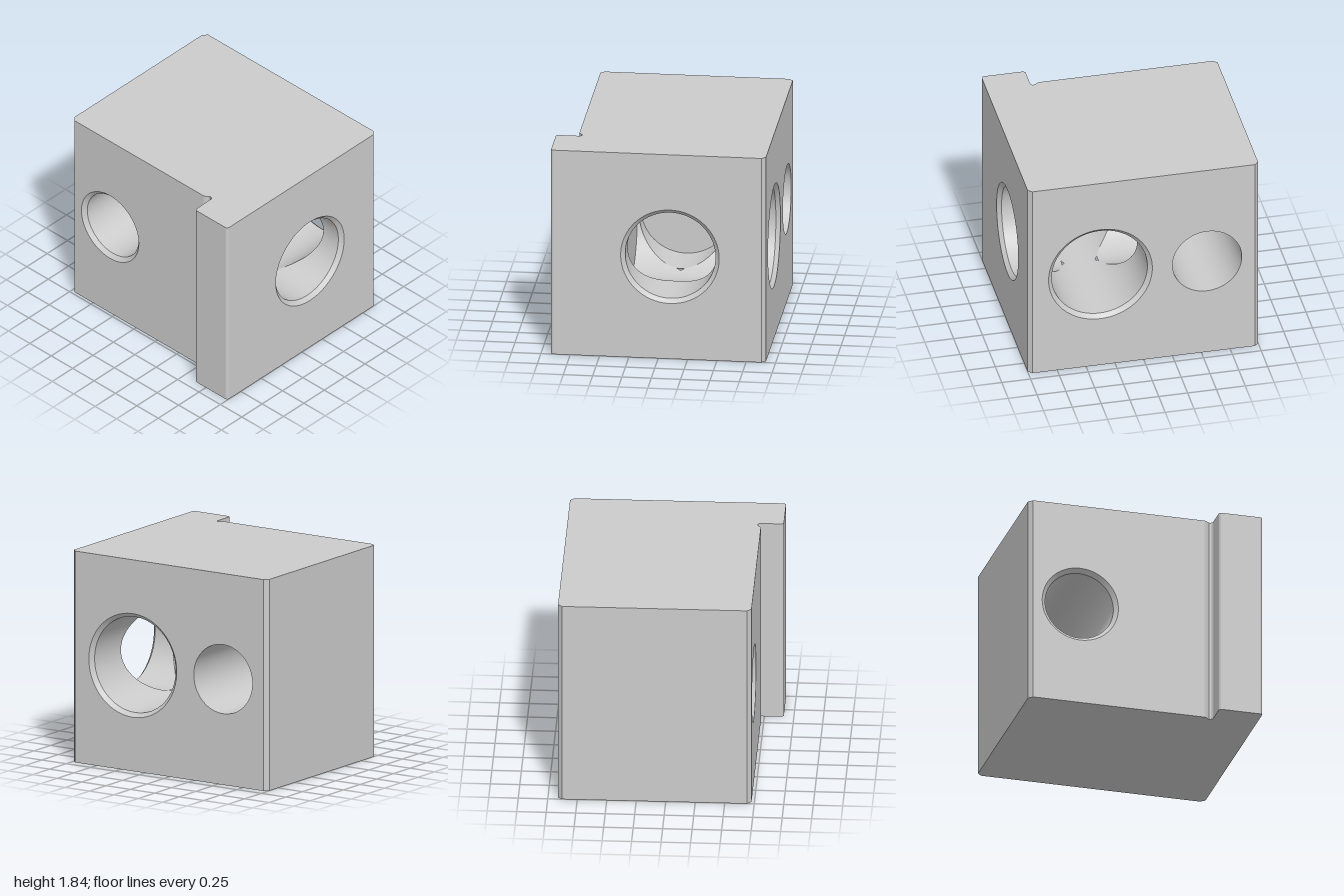
import * as THREE from 'three';

const H = 1.835, CY = H / 2, SEG = 96;
const Z_BORE = { x: 0.375, r: 0.415, end: 0.3 };   // blind bore entering from the back
const X_BORE = { z: -0.1, r: 0.385, end: -0.17 };  // blind bore entering from the right side
const THRU = { x: -0.55, r: 0.3 };                 // through hole, front to back
const C = 0.035;                                   // chamfer size

export function createModel() {
  const group = new THREE.Group();
  const mat = new THREE.MeshStandardMaterial({ color: 0xcccccc });
  const inner = new THREE.MeshStandardMaterial({ color: 0xcccccc, side: THREE.DoubleSide });
  const add = (name, geo, material = mat) => {
    const mesh = new THREE.Mesh(geo, material);
    mesh.name = name;
    group.add(mesh);
    return mesh;
  };

  // Plan outline [x, z]: chamfered corners, front lip with a relief groove beside it
  const outline = [[-1, 0.69], [-0.965, 0.725], [0.54, 0.725], [0.56, 0.717], [0.575, 0.703],
    [0.59, 0.695], [0.605, 0.697], [0.616, 0.706], [0.62, 0.72]];
  const round = (cx, cz, r, from, to) => {
    for (let i = 0; i <= 5; i++) {
      const a = from + (to - from) * i / 5;
      outline.push([cx + r * Math.cos(a), cz + r * Math.sin(a)]);
    }
  };
  round(0.645, 0.89, 0.025, Math.PI, Math.PI / 2);
  round(0.975, 0.89, 0.025, Math.PI / 2, 0);
  outline.push([1, -0.88], [0.965, -0.915], [-0.965, -0.915], [-1, -0.88]);

  // Top and bottom
  const plan = s => new THREE.ShapeGeometry(
    new THREE.Shape(outline.map(([x, z]) => new THREE.Vector2(x, s * z))));
  add('topFace', plan(-1).rotateX(-Math.PI / 2).translate(0, H, 0));
  add('bottomFace', plan(1).rotateX(Math.PI / 2));

  // Side walls; openings [x, z, radius] are cut where they lie on a wall
  const openings = [
    [THRU.x, 0.725, THRU.r + C], [THRU.x, -0.915, THRU.r],
    [Z_BORE.x, -0.915, Z_BORE.r + C], [1, X_BORE.z, X_BORE.r + C],
  ];
  outline.forEach(([ax, az], i) => {
    const [bx, bz] = outline[(i + 1) % outline.length];
    const len = Math.hypot(bx - ax, bz - az), dx = (bx - ax) / len, dz = (bz - az) / len;
    const shape = new THREE.Shape([[0, 0], [len, 0], [len, H], [0, H]]
      .map(p => new THREE.Vector2(...p)));
    for (const [x, z, r] of openings) {
      const along = (x - ax) * dx + (z - az) * dz;
      const off = Math.abs((z - az) * dx - (x - ax) * dz);
      if (off > 0.001 || along < r || along > len - r) continue;
      shape.holes.push(new THREE.Path().absarc(along, CY, r, 0, Math.PI * 2, true));
    }
    const wall = add('sideWall', new THREE.ShapeGeometry(shape, SEG / 2));
    wall.position.set(ax, 0, az);
    wall.rotation.y = Math.atan2(-dz, dx);
  });

  // Bore wall along an axis; start and end are functions of the height off the axis
  const bore = (name, axis, center, r0, r1, start, end) => {
    const value = (f, h) => typeof f === 'function' ? f(h) : f;
    const depth = typeof start === 'number' && typeof end === 'number' ? end - start : 1;
    const geo = new THREE.CylinderGeometry(r1, r0, depth, SEG, 1, true);
    const pos = geo.attributes.position;
    for (let i = 0; i < pos.count; i++) {
      const h = axis === 'z' ? pos.getZ(i) : pos.getX(i);
      pos.setY(i, value(pos.getY(i) > 0 ? end : start, h));
    }
    if (axis === 'z') geo.rotateX(Math.PI / 2).translate(center, CY, 0);
    else geo.rotateZ(-Math.PI / 2).translate(0, CY, center);
    add(name, geo, inner);
  };
  const half = (r, h) => Math.sqrt(Math.max(0, r * r - h * h));

  // Through hole, chamfered at the front
  bore('throughHole', 'z', THRU.x, THRU.r, THRU.r, -0.915, 0.725 - C);
  bore('throughHoleChamfer', 'z', THRU.x, THRU.r, THRU.r + C, 0.725 - C, 0.725);

  // Back bore, opened where the side bore crosses it
  const zb = Z_BORE, xb = X_BORE;
  bore('backBoreChamfer', 'z', zb.x, zb.r + C, zb.r, -0.915, -0.915 + C);
  bore('backBoreOuter', 'z', zb.x, zb.r, zb.r, -0.915 + C, h => xb.z - half(xb.r, h));
  bore('backBoreInner', 'z', zb.x, zb.r, zb.r, h => xb.z + half(xb.r, h), zb.end);
  add('backBoreEnd', new THREE.CircleGeometry(zb.r, SEG).rotateY(Math.PI)
    .translate(zb.x, CY, zb.end));

  // Side bore, opened where the back bore crosses it
  bore('sideBoreChamfer', 'x', xb.z, xb.r, xb.r + C, 1 - C, 1);
  bore('sideBoreOuter', 'x', xb.z, xb.r, xb.r, h => zb.x + half(zb.r, h), 1 - C);
  bore('sideBoreInner', 'x', xb.z, xb.r, xb.r, xb.end, h => zb.x - half(zb.r, h));
  add('sideBoreEnd', new THREE.CircleGeometry(xb.r, SEG).rotateY(Math.PI / 2)
    .translate(xb.end, CY, xb.z));

  return group;
}
